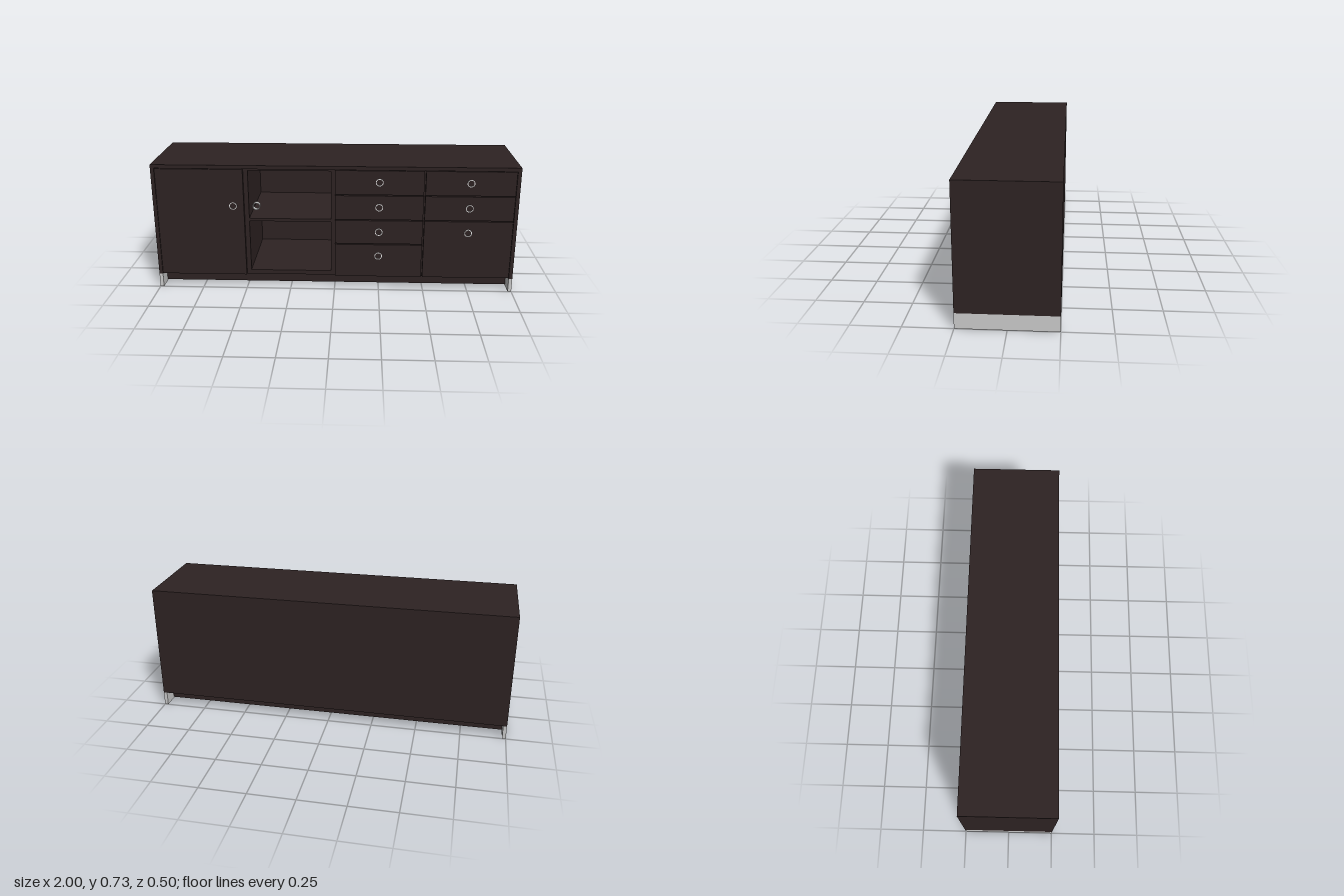
import * as THREE from 'three';

export function createModel() {
  const model = new THREE.Group();
  model.name = 'sideboard';
  const wood = new THREE.MeshStandardMaterial({ name: 'dark wood', color: 0x2e2323 });
  const steel = new THREE.MeshStandardMaterial({ name: 'pale steel', color: 0xcccccc });
  const chrome = new THREE.MeshStandardMaterial({ name: 'bright ring', color: 0xe8e8e8 });

  // Box given by its limits on each axis
  function panel(name, x0, x1, y0, y1, z0, z1, material = wood) {
    const mesh = new THREE.Mesh(new THREE.BoxGeometry(x1 - x0, y1 - y0, z1 - z0), material);
    mesh.position.set((x0 + x1) / 2, (y0 + y1) / 2, (z0 + z1) / 2);
    mesh.name = name;
    model.add(mesh);
  }

  // Outer shell
  const bottom = 0.08, top = 0.725, inner = 0.23;
  panel('top', -1, 1, 0.705, top, -0.25, 0.25);
  panel('backPanel', -0.98, 0.98, bottom, 0.705, -0.25, -0.24);
  for (const [side, x0, x1] of [['left', 0.98, 1], ['right', -1, -0.98]]) {
    panel(side + 'Side', x0, x1, bottom, 0.705, -0.25, 0.25);
    panel(side + 'Leg', x0, x1, 0, bottom, -0.25, 0.25, steel);
  }

  // Inner carcass, set back behind the fronts
  panel('floor', -0.98, 0.98, bottom, 0.105, -0.24, inner);
  panel('innerTop', -0.98, 0.98, 0.692, 0.705, -0.24, inner);
  for (const [x0, x1] of [[-0.515, -0.473], [-0.02, 0.02], [0.47, 0.51]]) {
    panel('partition', x0, x1, 0.105, 0.692, -0.24, inner);
  }
  panel('shelf', -0.473, -0.02, 0.4, 0.416, -0.24, inner);

  // Plinth rails between the legs
  panel('frontRail', -0.98, 0.98, 0.006, bottom, 0.145, 0.165);
  panel('backRail', -0.98, 0.98, 0.006, bottom, -0.165, -0.145);

  // Ring pulls
  const ringShape = new THREE.Shape().absarc(0, 0, 0.021, 0, Math.PI * 2);
  ringShape.holes.push(new THREE.Path().absarc(0, 0, 0.017, 0, Math.PI * 2, true));
  const ringGeometry = new THREE.ExtrudeGeometry(ringShape, { depth: 0.022, bevelEnabled: false, curveSegments: 16 });
  function ringPull(x, y) {
    const ring = new THREE.Mesh(ringGeometry, chrome);
    ring.position.set(x, y, 0.2305);
    ring.name = 'ringPull';
    model.add(ring);
  }

  // Door, and the pull of the open bay
  panel('door', -0.978, -0.498, 0.083, 0.702, inner, 0.249);
  ringPull(-0.557, 0.494);
  ringPull(-0.428, 0.494);

  // Drawer columns: row limits from the top down
  const columns = [
    { x0: 0.004, x1: 0.486, rows: [0.705, 0.563, 0.42, 0.278, 0.08] },
    { x0: 0.494, x1: 0.978, rows: [0.705, 0.563, 0.42, 0.08] },
  ];
  for (const { x0, x1, rows } of columns) {
    for (let i = 0; i < rows.length - 1; i++) {
      panel('drawerFront', x0, x1, rows[i + 1] + 0.003, rows[i] - 0.003, inner, 0.249);
      ringPull((x0 + x1) / 2, 0.637 - 0.143 * i);
    }
  }
  return model;
}
